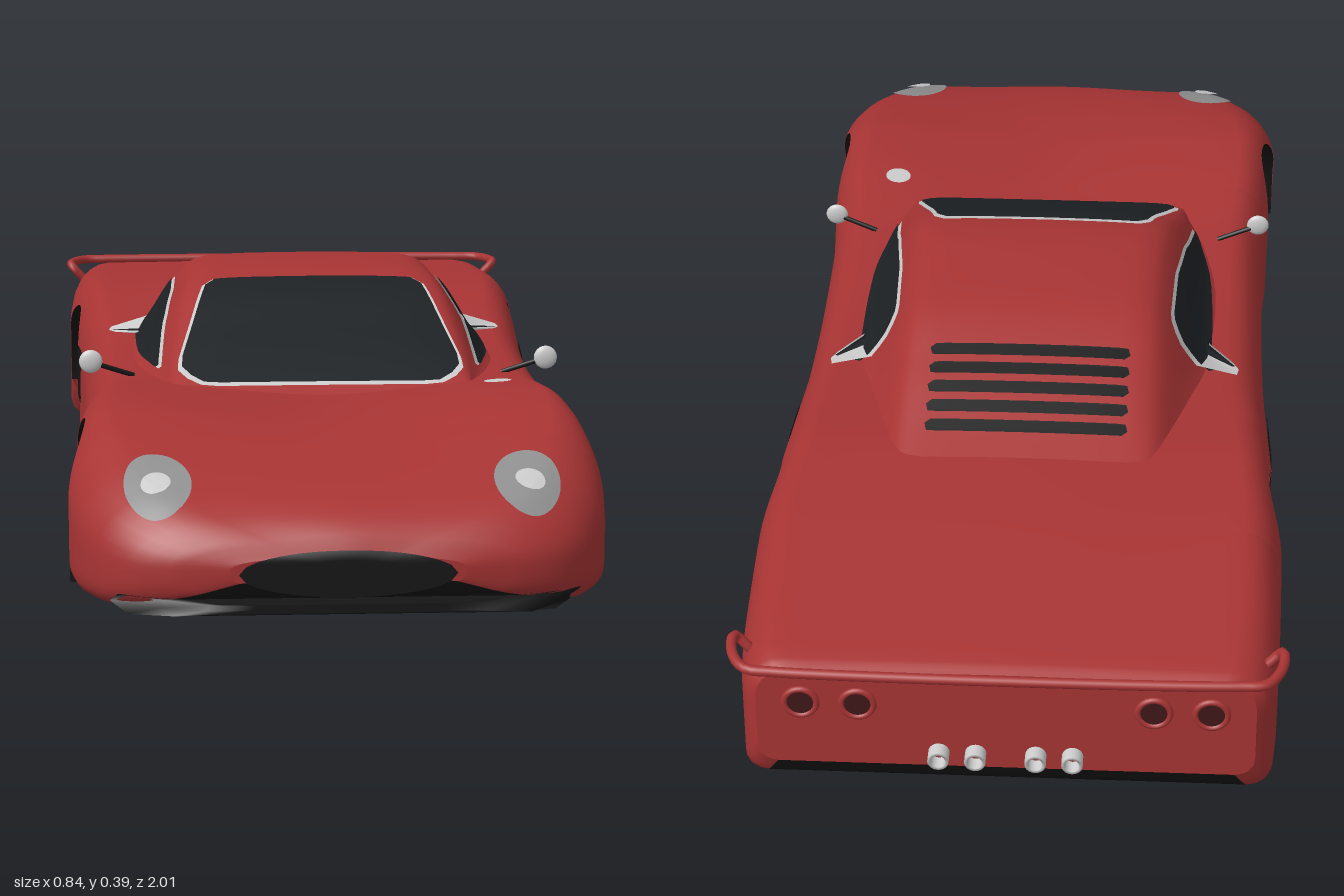
import * as THREE from 'three';

const paint = (color) => new THREE.MeshStandardMaterial({ color, side: THREE.DoubleSide });
const V3 = (x, y, z) => new THREE.Vector3(x, y, z);

// Body stations: z, half width, centre height, fender height, bottom, shoulder width, shoulder drop
const BODY = [
  [1.0, 0.17, 0.112, 0.108, 0.072, 0.10, 0.015], [0.985, 0.26, 0.14, 0.132, 0.05, 0.13, 0.04],
  [0.95, 0.325, 0.166, 0.16, 0.034, 0.12, 0.07], [0.9, 0.365, 0.187, 0.185, 0.022, 0.11, 0.09],
  [0.8, 0.398, 0.213, 0.219, 0.018, 0.1, 0.1], [0.7, 0.405, 0.229, 0.245, 0.018, 0.08, 0.1],
  [0.6, 0.4, 0.238, 0.262, 0.018, 0.065, 0.1], [0.5, 0.395, 0.24, 0.264, 0.018, 0.06, 0.1],
  [0.4, 0.388, 0.238, 0.258, 0.018, 0.06, 0.1], [0.3, 0.382, 0.24, 0.25, 0.018, 0.06, 0.1],
  [0.1, 0.38, 0.245, 0.248, 0.018, 0.06, 0.09], [-0.1, 0.383, 0.255, 0.255, 0.018, 0.06, 0.09],
  [-0.3, 0.392, 0.28, 0.275, 0.018, 0.06, 0.09], [-0.45, 0.4, 0.29, 0.286, 0.018, 0.06, 0.09],
  [-0.6, 0.41, 0.288, 0.285, 0.018, 0.06, 0.09], [-0.8, 0.407, 0.276, 0.273, 0.018, 0.06, 0.08],
  [-0.91, 0.4, 0.268, 0.265, 0.022, 0.06, 0.07], [-0.955, 0.39, 0.263, 0.26, 0.045, 0.06, 0.06],
  [-0.975, 0.372, 0.255, 0.252, 0.08, 0.05, 0.05],
];
// Cabin stations: z, roof half width, waist half width, roof height
const CABIN = [
  [0.41, 0.24, 0.25, 0.232], [0.36, 0.23, 0.265, 0.26], [0.25, 0.22, 0.283, 0.316],
  [0.1, 0.205, 0.29, 0.382], [0, 0.198, 0.29, 0.394], [-0.15, 0.195, 0.288, 0.391],
  [-0.3, 0.195, 0.275, 0.35], [-0.42, 0.195, 0.26, 0.307], [-0.52, 0.195, 0.25, 0.272],
];
const ARCHES = [{ z: 0.587, y: 0.08, r: 0.157 }, { z: -0.475, y: 0.085, r: 0.164 }];
const WELL_X = 0.24;

// Monotone cubic interpolation of station values (z runs from front to back)
function station(keys, z) {
  let i = 0;
  while (i < keys.length - 2 && z < keys[i + 1][0]) i++;
  const slope = (k, c) => (keys[k + 1][c] - keys[k][c]) / (keys[k + 1][0] - keys[k][0]);
  const tangent = (k, c) => {
    if (k === 0) return slope(0, c);
    if (k === keys.length - 1) return slope(k - 1, c);
    const a = slope(k - 1, c), b = slope(k, c);
    return a * b <= 0 ? 0 : (2 * a * b) / (a + b);
  };
  const h = keys[i + 1][0] - keys[i][0], t = (z - keys[i][0]) / h;
  return keys[i].map((p, c) => (2 * t ** 3 - 3 * t * t + 1) * p + (t ** 3 - 2 * t * t + t) * h * tangent(i, c)
    + (3 * t * t - 2 * t ** 3) * keys[i + 1][c] + (t ** 3 - t * t) * h * tangent(i + 1, c));
}
const stops = (keys, n) => keys.flatMap((k, i) => i === keys.length - 1 ? [k[0]]
  : Array.from({ length: n }, (_, j) => k[0] + (keys[i + 1][0] - k[0]) * j / n));
const archAt = (z) => ARCHES.find((a) => Math.abs(z - a.z) < a.r);

// Half section of the body, from the centre line over the shoulder to the sill or arch lip
function bodyHalf(z) {
  const [, w, yC, yF, yB, rx, ry] = station(BODY, z), pts = [];
  const arch = archAt(z), low = arch ? arch.y + Math.sqrt(arch.r ** 2 - (z - arch.z) ** 2) : yB;
  const rb = Math.min(0.03, (yF - yB) * 0.4);
  for (let i = 0; i < 12; i++) {
    const s = i / 12;
    pts.push([s * (w - rx), yC + (yF - yC) * s * s * (3 - 2 * s)]);
  }
  for (let i = 0; i <= 14; i++) {
    const y = low + (yF - low) * (Math.cos(Math.PI * i / 14) + 1) / 2;
    const up = Math.min(1, Math.max(0, (y - yF + ry) / ry)), down = Math.min(1, Math.max(0, (yB + rb - y) / rb));
    pts.push([w - rx * (1 - Math.sqrt(1 - up * up)) - rb * (1 - Math.sqrt(1 - down * down)), y]);
  }
  return pts;
}
function cabinHalf(z) {
  const [, wt, w, yT] = station(CABIN, z), h = yT - 0.23;
  return new THREE.SplineCurve([[0, 1], [0.6 * wt, 0.99], [0.93 * wt, 0.95], [wt + (w - wt) * 0.25, 0.78],
    [w - 0.01, 0.22], [w + 0.05, -0.05]].map(([x, f]) => new THREE.Vector2(x, 0.23 + h * f)))
    .getPoints(18).map((p) => [p.x, p.y]);
}
// Skin mirrored half sections, front to back, with flat end caps
function loft(zs, half) {
  const pos = [], idx = [];
  const rows = zs.map((z) => {
    const r = half(z);
    return [...r.slice(1).reverse().map(([x, y]) => [-x, y, z]), ...r.map(([x, y]) => [x, y, z])];
  });
  const n = rows[0].length;
  rows.forEach((r) => r.forEach((p) => pos.push(...p)));
  for (let i = 0; i < rows.length - 1; i++) for (let j = 0; j < n - 1; j++) {
    const a = i * n + j, c = a + n;
    idx.push(a, a + 1, c, a + 1, c + 1, c);
  }
  [rows[0], rows[rows.length - 1]].forEach((r, end) => {
    const base = pos.length / 3, mid = (r[0][1] + r[(n - 1) / 2][1]) / 2;
    r.forEach((p) => pos.push(...p));
    pos.push(0, mid, r[0][2]);
    for (let j = 0; j < n; j++) {
      const k = (j + 1) % n;
      idx.push(base + n, base + (end ? j : k), base + (end ? k : j));
    }
  });
  return surface(pos, idx);
}
function surface(pos, idx) {
  const g = new THREE.BufferGeometry();
  g.setAttribute('position', new THREE.Float32BufferAttribute(pos, 3));
  g.setIndex(idx);
  g.computeVertexNormals();
  return g;
}
// Outlines for panels laid on the skin
const ellipse = (x, y, rx, ry, turn = 0) =>
  new THREE.EllipseCurve(x, y, rx, ry, 0, Math.PI * 2, false, turn).getSpacedPoints(40).slice(1);
function rounded(corners, r) {
  const s = new THREE.Shape(), v = corners.map((c) => new THREE.Vector2(...c)), n = v.length;
  v.forEach((p, i) => {
    const toward = (q) => p.clone().add(q.clone().sub(p).setLength(r));
    const a = toward(v[(i + n - 1) % n]), b = toward(v[(i + 1) % n]);
    i ? s.lineTo(a.x, a.y) : s.moveTo(a.x, a.y);
    s.quadraticCurveTo(p.x, p.y, b.x, b.y);
  });
  s.closePath();
  return s.getSpacedPoints(48).slice(1);
}

export function createModel() {
  const car = new THREE.Group();
  const red = paint(0xa83434), black = paint(0x151515), glass = paint(0x1d2124), grey = paint(0x909090), chrome = paint(0xcccccc);
  const add = (name, geo, mat, x = 0, y = 0, z = 0) => {
    const m = new THREE.Mesh(geo, mat);
    m.name = name;
    m.position.set(x, y, z);
    car.add(m);
    return m;
  };

  // Body shell and cabin
  const zs = stops(BODY, 3).filter((z) => !archAt(z));
  ARCHES.forEach((a) => {
    for (let i = 0; i <= 24; i++) zs.push(a.z + a.r * 0.9999 * Math.cos(Math.PI * i / 24));
    zs.push(a.z + a.r + 0.0005, a.z - a.r - 0.0005);
  });
  zs.sort((a, b) => b - a);
  const body = add('body', loft(zs, bodyHalf), red);
  const cabin = add('cabin', loft(stops(CABIN, 4), cabinHalf), red);

  // Floor, notched at the wheel wells
  const pos = [], idx = [];
  zs.forEach((z, i) => {
    const half = bodyHalf(z), x = archAt(z) ? WELL_X : half[half.length - 1][0], y = station(BODY, z)[4];
    pos.push(-x, y, z, x, y, z);
    if (i) idx.push(2 * i - 2, 2 * i, 2 * i - 1, 2 * i - 1, 2 * i, 2 * i + 1);
  });
  add('floor', surface(pos, idx), black);

  // Wheel wells: arched lining and inner wall
  for (const a of ARCHES) for (const s of [-1, 1]) {
    const arc = new THREE.Shape();
    arc.moveTo(-a.r, 0.018 - a.y);
    arc.absarc(0, 0, a.r, Math.PI, 0, true);
    arc.lineTo(a.r, 0.018 - a.y);
    add('wheelWellWall', new THREE.ShapeGeometry(arc, 24), black, s * WELL_X, a.y, a.z).rotation.y = Math.PI / 2;
    const p = [], f = [];
    arc.getPoints(24).forEach((q, i) => {
      const z = a.z + q.x, h = bodyHalf(Math.max(a.z - a.r * 0.999, Math.min(a.z + a.r * 0.999, z)));
      p.push(s * WELL_X, a.y + q.y, z, s * (h[h.length - 1][0] - 0.001), a.y + q.y, z);
      if (i) f.push(2 * i - 2, 2 * i - 1, 2 * i, 2 * i - 1, 2 * i + 1, 2 * i);
    });
    add('wheelWellLining', surface(p, f), black);
  }

  // Lay an outlined panel on the skin by casting along a view direction
  const ray = new THREE.Raycaster();
  const views = {
    top: [(u, v) => V3(u, 1, v), V3(0, -1, 0)], front: [(u, v) => V3(u, v, 2), V3(0, 0, -1)],
    left: [(u, v) => V3(1, v, u), V3(-1, 0, 0)], right: [(u, v) => V3(-1, v, u), V3(1, 0, 0)],
  };
  car.updateMatrixWorld(true);
  const drape = (name, outline, view, mat, lift = 0.003, grow = 1) => {
    const [from, dir] = views[view], n = outline.length, rings = 5, p = [], f = [];
    const c = outline.reduce((m, q) => m.add(q), new THREE.Vector2()).divideScalar(n);
    let depth = 1;
    const cast = (u, v) => {
      const o = from(u, v);
      ray.set(o, dir);
      const hit = ray.intersectObjects([body, cabin])[0];
      if (hit) depth = hit.distance;
      p.push(...o.addScaledVector(dir, depth - lift).toArray());
    };
    cast(c.x, c.y);
    for (let k = 1; k <= rings; k++) outline.forEach((q, j) => {
      const t = k / rings * grow, a = 1 + (k - 1) * n + j, b = 1 + (k - 1) * n + (j + 1) % n;
      cast(c.x + (q.x - c.x) * t, c.y + (q.y - c.y) * t);
      k === 1 ? f.push(0, a, b) : f.push(a - n, a, b, a - n, b, b - n);
    });
    return add(name, surface(p, f), mat);
  };

  // Windscreen with trim
  const screen = rounded([[-0.175, 0.105], [0.175, 0.105], [0.228, 0.335], [0.195, 0.378], [-0.195, 0.378], [-0.228, 0.335]], 0.02);
  drape('windscreenTrim', screen, 'top', chrome, 0.003, 1.03);
  drape('windscreen', screen, 'top', glass, 0.006);

  // Side windows and air intakes
  const pane = rounded([[0.28, 0.262], [-0.165, 0.258], [-0.17, 0.325], [-0.14, 0.35], [0.0, 0.348], [0.11, 0.328]], 0.012);
  for (const side of ['left', 'right']) {
    drape('sideWindowTrim', pane, side, chrome, 0.003, 1.04);
    drape('sideWindow', pane, side, glass, 0.007);
    drape('sideIntake', rounded([[-0.2, 0.115], [-0.315, 0.115], [-0.315, 0.205], [-0.2, 0.205]], 0.02), side, black);
  }

  // Rear louvres
  for (let i = 0; i < 5; i++) {
    const z = -0.27 - i * 0.036;
    drape('louvre', rounded([[-0.162, z - 0.011], [0.162, z - 0.011], [0.162, z + 0.011], [-0.162, z + 0.011]], 0.008), 'top', black, 0.004);
  }

  // Nose: grille and lower lip
  drape('grille', ellipse(0, 0.085, 0.158, 0.034), 'front', black, 0.004);
  drape('frontLip', rounded([[-0.34, 0.024], [0.34, 0.024], [0.35, 0.046], [-0.35, 0.046]], 0.008), 'front', black, 0.004);

  // Headlights, mirrors
  for (const s of [-1, 1]) {
    drape('headlight', ellipse(s * 0.272, 0.873, 0.049, 0.075, s * 0.15), 'top', grey, 0.004);
    drape('headlightBulb', ellipse(s * 0.275, 0.885, 0.022, 0.024), 'top', chrome, 0.009);
    add('mirrorStem', new THREE.TubeGeometry(new THREE.LineCurve3(V3(s * 0.3, 0.25, 0.27), V3(s * 0.37, 0.274, 0.28)), 1, 0.004, 8), black);
    add('mirror', new THREE.SphereGeometry(0.019, 20, 12), chrome, s * 0.37, 0.275, 0.28).scale.z = 0.4;
  }
  drape('fuelCap', ellipse(0.275, 0.435, 0.022, 0.022), 'top', chrome, 0.006);

  // Tail lights and exhausts
  for (const s of [-1, 1]) {
    for (const x of [0.22, 0.305]) {
      add('tailLightRing', new THREE.TorusGeometry(0.024, 0.005, 8, 28), red, s * x, 0.195, -0.977);
      add('tailLight', new THREE.CylinderGeometry(0.022, 0.022, 0.006, 28), paint(0x401818), s * x, 0.195, -0.976).rotation.x = Math.PI / 2;
    }
    for (const x of [0.045, 0.1]) {
      const pipe = [[0.001, 0], [0.011, 0], [0.011, 0.035], [0.016, 0.035], [0.016, -0.01]].map((q) => new THREE.Vector2(...q));
      add('exhaust', new THREE.LatheGeometry(pipe, 20), chrome, s * x, 0.106, -0.963).rotation.x = -Math.PI / 2;
    }
  }

  // Wrap-round rear spoiler rail
  const rail = [[-0.385, 0.235, -0.905], [-0.408, 0.26, -0.905], [-0.408, 0.262, -0.945], [-0.385, 0.262, -0.985], [-0.34, 0.262, -0.992]];
  const path = [...rail, ...rail.map(([x, y, z]) => [-x, y, z]).reverse()].map((q) => V3(...q));
  add('spoiler', new THREE.TubeGeometry(new THREE.CatmullRomCurve3(path, false, 'centripetal'), 90, 0.008, 10), red);

  // Underside keel and floor pans
  add('keel', new THREE.CapsuleGeometry(0.035, 0.28, 6, 20).rotateX(Math.PI / 2).scale(1, 0.55, 1), black, 0, 0.0193, 0.105);
  for (const s of [-1, 1]) add('floorPan', new THREE.CylinderGeometry(0.075, 0.06, 0.01, 28), black, s * 0.15, 0.0165, 0.1);
  return car;
}
